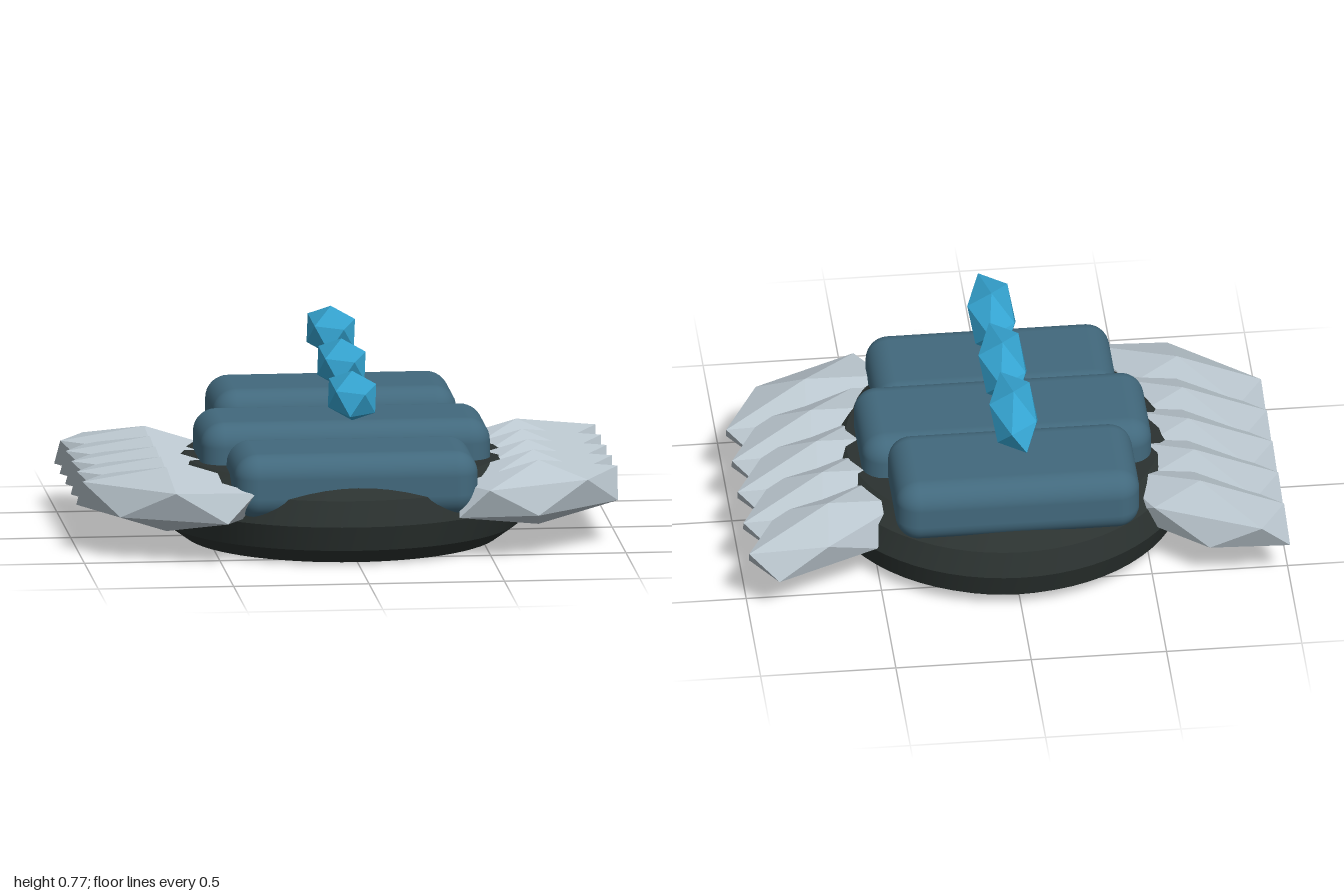
import * as THREE from 'three';
import { toCreasedNormals } from 'three/addons/utils/BufferGeometryUtils.js';
import { RoundedBoxGeometry } from 'three/addons/geometries/RoundedBoxGeometry.js';
import { ConvexGeometry } from 'three/addons/geometries/ConvexGeometry.js';

const material = (name, color) => {
  const m = new THREE.MeshStandardMaterial({ color });
  m.name = name;
  return m;
};

// Twenty-sided gem standing on a corner: two poles and two staggered rings of five
function gemGeometry() {
  const points = [new THREE.Vector3(0, 1, 0), new THREE.Vector3(0, -1, 0)];
  const r = 2 / Math.sqrt(5), h = 1 / Math.sqrt(5);
  for (let i = 0; i < 5; i++) {
    const a = (i * Math.PI * 2) / 5, b = a + Math.PI / 5;
    points.push(new THREE.Vector3(r * Math.cos(a), h, r * Math.sin(a)));
    points.push(new THREE.Vector3(r * Math.cos(b), -h, r * Math.sin(b)));
  }
  return new ConvexGeometry(points);
}

export function createModel() {
  const model = new THREE.Group();
  model.name = 'hoverCraft';
  const rubber = material('dark rubber', 0x2b3230);
  const padding = material('slate blue', 0x42697d);
  const crystalBlue = material('bright blue', 0x35a5d2);
  const silver = material('pale silver', 0xbac6ce);

  const add = (name, geometry, mat, x, y, z) => {
    const mesh = new THREE.Mesh(geometry, mat);
    mesh.name = name;
    mesh.position.set(x, y, z);
    model.add(mesh);
    return mesh;
  };

  // Ten-sided ring that everything rests on
  const ring = new THREE.TorusGeometry(0.53, 0.158, 10, 64).rotateX(Math.PI / 2);
  add('baseRing', toCreasedNormals(ring, Math.PI / 6), rubber, 0, 0.15, 0);

  // Three stepped pads, each with a floating crystal above
  const gem = gemGeometry();
  const rows = [
    { name: 'front', z: 1, width: 0.9, y: 0.28 },
    { name: 'middle', z: 0, width: 1.07, y: 0.327 },
    { name: 'back', z: -1, width: 0.9, y: 0.375 },
  ];
  for (const row of rows) {
    const pad = new RoundedBoxGeometry(row.width, 0.24, 0.43, 5, 0.085);
    add(row.name + 'Pad', pad, padding, 0, row.y, row.z * 0.39);
    const crystal = add(row.name + 'Crystal', gem, crystalBlue, 0, row.y + 0.306, row.z * 0.385);
    crystal.scale.set(0.1, 0.0925, 0.241);
  }

  // Five swept-back faceted feathers on each side
  for (const side of [1, -1]) {
    for (let i = 0; i < 5; i++) {
      const feather = add(side > 0 ? 'leftFeather' : 'rightFeather', gem, silver,
        side * 0.687, 0.215, 0.4 - i * 0.2);
      feather.scale.set(0.415, 0.12, 0.173);
      feather.rotation.y = side * 0.57;
    }
  }
  return model;
}
